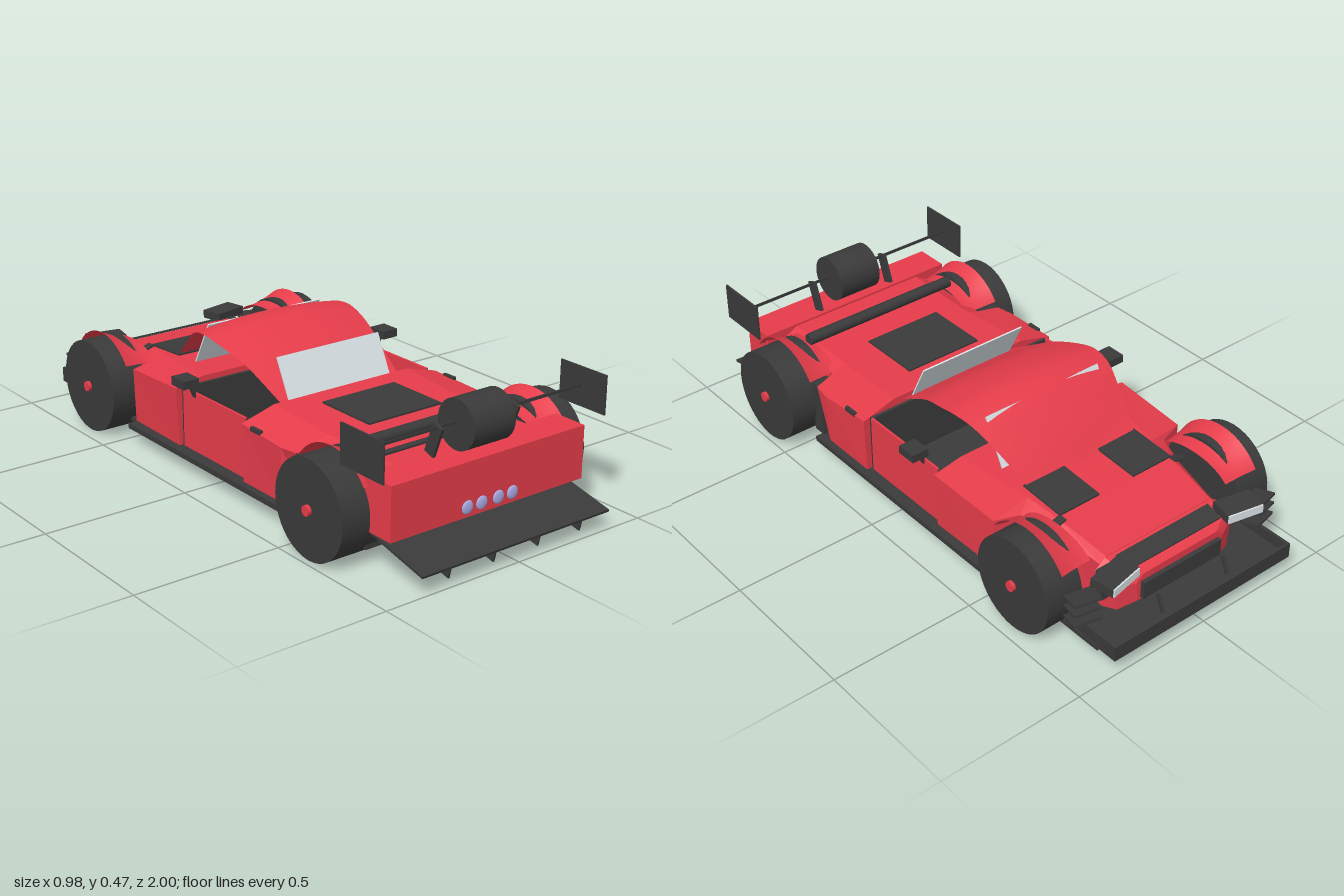
import * as THREE from 'three';

const mat = (name, color) => Object.assign(new THREE.MeshStandardMaterial({ color }), { name });

export function createModel() {
  const car = new THREE.Group();
  car.name = 'raceCar';
  const red = mat('bodyRed', 0xe63c4a);
  const redSheet = mat('bodyRedSheet', 0xe63c4a);
  redSheet.side = THREE.DoubleSide;
  const dark = mat('carbonGrey', 0x3a3a3a);
  const glass = mat('paleGlass', 0xdde5e9);
  glass.side = THREE.DoubleSide;
  const lavender = mat('exhaustLavender', 0xaaaae4);

  const add = (name, geo, material, x = 0, y = 0, z = 0, rx = 0, ry = 0, rz = 0) => {
    const m = new THREE.Mesh(geo, material);
    m.name = name;
    m.position.set(x, y, z);
    m.rotation.set(rx, ry, rz);
    car.add(m);
    return m;
  };
  const box = (name, material, w, h, d, ...at) => add(name, new THREE.BoxGeometry(w, h, d), material, ...at);
  const rod = (name, material, r, len, x, y, z, seg = 16) =>
    add(name, new THREE.CylinderGeometry(r, r, len, seg), material, x, y, z, 0, 0, Math.PI / 2);

  // Closed loft through sections [z, topHalf, topY, shoulderHalf, shoulderY, bottomHalf, bottomY], z rising
  const loft = (name, material, sections) => {
    const rings = sections.map(([z, tw, ty, sw, sy, bw, by = 0.065]) =>
      [[bw, by], [sw, sy], [tw, ty], [-tw, ty], [-sw, sy], [-bw, by]].map(([x, y]) => [x, y, z]));
    const pos = [];
    const tri = (...p) => p.forEach((v) => pos.push(...v));
    for (let i = 0; i < rings.length - 1; i++) {
      for (let j = 0; j < 6; j++) {
        const k = (j + 1) % 6, a = rings[i], b = rings[i + 1];
        tri(a[j], a[k], b[k]);
        tri(a[j], b[k], b[j]);
      }
    }
    const first = rings[0], last = rings[rings.length - 1];
    for (let j = 1; j < 5; j++) {
      tri(first[0], first[j + 1], first[j]);
      tri(last[0], last[j], last[j + 1]);
    }
    const g = new THREE.BufferGeometry();
    g.setAttribute('position', new THREE.Float32BufferAttribute(pos, 3));
    g.computeVertexNormals();
    return add(name, g, material);
  };

  // Smooth sheet from a rule f(u, v) -> [x, y, z]
  const sheet = (name, nu, nv, f) => {
    const g = new THREE.PlaneGeometry(1, 1, nu, nv);
    const p = g.attributes.position;
    for (let i = 0; i < p.count; i++) p.setXYZ(i, ...f(p.getX(i) + 0.5, p.getY(i) + 0.5));
    g.computeVertexNormals();
    return add(name, g, redSheet);
  };

  // Floor, sills and the tray at the nose
  box('floor', dark, 0.74, 0.015, 1.68, 0, 0.058, -0.09);
  box('noseTray', dark, 0.73, 0.015, 0.2, 0, 0.063, -0.9);
  box('trayLip', dark, 0.73, 0.05, 0.01, 0, 0.083, -0.995);
  for (const s of [-1, 1]) {
    box('sill', dark, 0.06, 0.018, 0.9, s * 0.385, 0.06, -0.02);
    box('trayWall', dark, 0.01, 0.05, 0.2, s * 0.36, 0.083, -0.9);
    box('trayStrut', dark, 0.008, 0.06, 0.012, s * 0.135, 0.11, -0.945, 0.4);
  }

  // Body: engine deck, bonnet and nose
  loft('engineDeck', red, [
    [0.17, 0.27, 0.3, 0.395, 0.265, 0.39],
    [0.38, 0.265, 0.287, 0.4, 0.255, 0.39],
    [0.44, 0.265, 0.283, 0.39, 0.255, 0.33],
    [0.46, 0.26, 0.283, 0.31, 0.26, 0.3],
    [0.76, 0.26, 0.287, 0.31, 0.26, 0.3],
  ]);
  loft('bonnet', red, [
    [-0.79, 0.215, 0.232, 0.235, 0.21, 0.225],
    [-0.6, 0.235, 0.265, 0.265, 0.24, 0.26],
    [-0.5, 0.245, 0.273, 0.3, 0.25, 0.3],
    [-0.475, 0.25, 0.276, 0.385, 0.255, 0.38],
    [-0.2, 0.29, 0.29, 0.395, 0.27, 0.385],
  ]);
  loft('nose', red, [
    [-0.885, 0.15, 0.195, 0.18, 0.17, 0.17, 0.1],
    [-0.86, 0.2, 0.205, 0.24, 0.18, 0.23, 0.08],
    [-0.79, 0.22, 0.23, 0.26, 0.2, 0.25],
  ]);
  box('noseVent', dark, 0.38, 0.006, 0.06, 0, 0.221, -0.832, -0.34);
  box('grille', dark, 0.32, 0.06, 0.02, 0, 0.14, -0.89);
  box('tailBox', red, 0.76, 0.175, 0.12, 0, 0.2075, 0.81);

  // Dark cabin bulkheads, also closing the door seams
  for (const z of [-0.195, 0.165]) box('bulkhead', dark, 0.74, 0.205, 0.012, 0, 0.168, z);

  // Arched roof sheet
  const roofLine = new THREE.CatmullRomCurve3([
    [0.235, 0.285, 0.17], [0.25, 0.35, 0.08], [0.265, 0.405, 0], [0.285, 0.445, -0.1], [0.29, 0.46, -0.17],
    [0.28, 0.445, -0.25], [0.25, 0.37, -0.35], [0.22, 0.28, -0.445],
  ].map((p) => new THREE.Vector3(...p)));
  sheet('roof', 12, 28, (u, v) => {
    const p = roofLine.getPoint(v), k = u * 2 - 1;
    return [k * p.x, p.y - 0.026 * k * k * Math.sin(Math.PI * v), p.z];
  });

  // Free-standing windows
  box('rearWindow', glass, 0.41, 0.155, 0.005, 0, 0.35, 0.13, -0.46);
  box('windscreen', glass, 0.46, 0.17, 0.005, 0, 0.366, -0.289, 0.49);

  // Deck panels
  box('enginePanel', dark, 0.29, 0.006, 0.23, -0.005, 0.305, 0.375);
  box('deckSlot', dark, 0.52, 0.006, 0.025, 0, 0.291, 0.665);
  rod('deckBar', dark, 0.02, 0.6, 0, 0.315, 0.615);

  for (const s of [-1, 1]) {
    // Doors, wheel well and bonnet panels
    box('door', red, 0.008, 0.205, 0.346, s * 0.37, 0.1725, -0.015);
    box('doorHandle', dark, 0.012, 0.014, 0.05, s * 0.392, 0.264, 0.245);
    box('wheelWell', dark, 0.07, 0.185, 0.05, s * 0.353, 0.16, 0.445);
    box('bonnetPanel', dark, 0.16, 0.006, 0.17, s * 0.15, 0.28, -0.515, -0.06);
    box('bonnetNotch', dark, 0.05, 0.006, 0.03, s * 0.25, 0.265, -0.61, 0, 0, -s * 0.3);

    // Wheels with hubs, and flared fenders over them
    for (const [z, x0, x1] of [[0.62, 0.322, 0.48], [-0.65, 0.325, 0.457]]) {
      rod('wheel', dark, 0.16, x1 - x0, s * (x0 + x1) / 2, 0.16, z, 40);
      rod('hub', red, 0.017, 0.02, s * (x1 + 0.002), 0.16, z);
      sheet('fender', 8, 24, (u, v) => {
        const t = 0.6 + v * (Math.PI - 1.2);
        const r = 0.14 + 0.045 * u ** 1.4 + 0.045 * (1 - u) * Math.cos(t) ** 2;
        return [s * (0.28 + 0.12 * u), 0.157 + r * Math.sin(t), z + r * Math.cos(t)];
      });
    }

    // Mirrors
    box('mirror', dark, 0.06, 0.028, 0.07, s * 0.41, 0.322, -0.118);
    box('mirrorStem', dark, 0.012, 0.06, 0.012, s * 0.385, 0.29, -0.118, 0, 0, -s * 0.4);

    // Headlights and canards
    const lamp = new THREE.Group();
    lamp.name = 'headlight';
    const shell = box('lampShell', dark, 0.13, 0.03, 0.08);
    const lens = box('lampLens', glass, 0.125, 0.028, 0.006, 0, 0, -0.042);
    lamp.add(shell, lens);
    lamp.position.set(s * 0.255, 0.23, -0.87);
    lamp.rotation.y = s * 0.2;
    car.add(lamp);
    box('lampMount', dark, 0.06, 0.1, 0.03, s * 0.24, 0.17, -0.82);
    for (const y of [0.125, 0.165, 0.2])
      box('canard', dark, 0.09, 0.008, 0.07, s * 0.363, y, -0.855, 0.15, -s * 0.25);

    // Wing end plates and stands
    box('wingEndPlate', dark, 0.006, 0.128, 0.19, s * 0.433, 0.387, 0.805);
    box('wingStand', dark, 0.01, 0.105, 0.04, s * 0.15, 0.35, 0.785, 0.35);
  }

  // Wing bar with its drum
  box('wingBar', dark, 0.866, 0.01, 0.004, 0, 0.393, 0.8);
  rod('wingDrum', dark, 0.08, 0.16, 0, 0.385, 0.8, 32);

  // Diffuser with fins
  box('diffuser', dark, 0.74, 0.008, 0.26, 0, 0.089, 0.872, 0.22);
  for (const x of [-0.26, -0.088, 0.088, 0.26])
    box('diffuserFin', dark, 0.006, 0.04, 0.25, x, 0.068, 0.868, 0.22);

  // Exhaust tips
  for (const x of [-0.09, -0.034, 0.032, 0.088])
    add('exhaustTip', new THREE.SphereGeometry(0.022, 16, 12).scale(1, 1, 0.3), lavender, x, 0.152, 0.87);

  return car;
}
